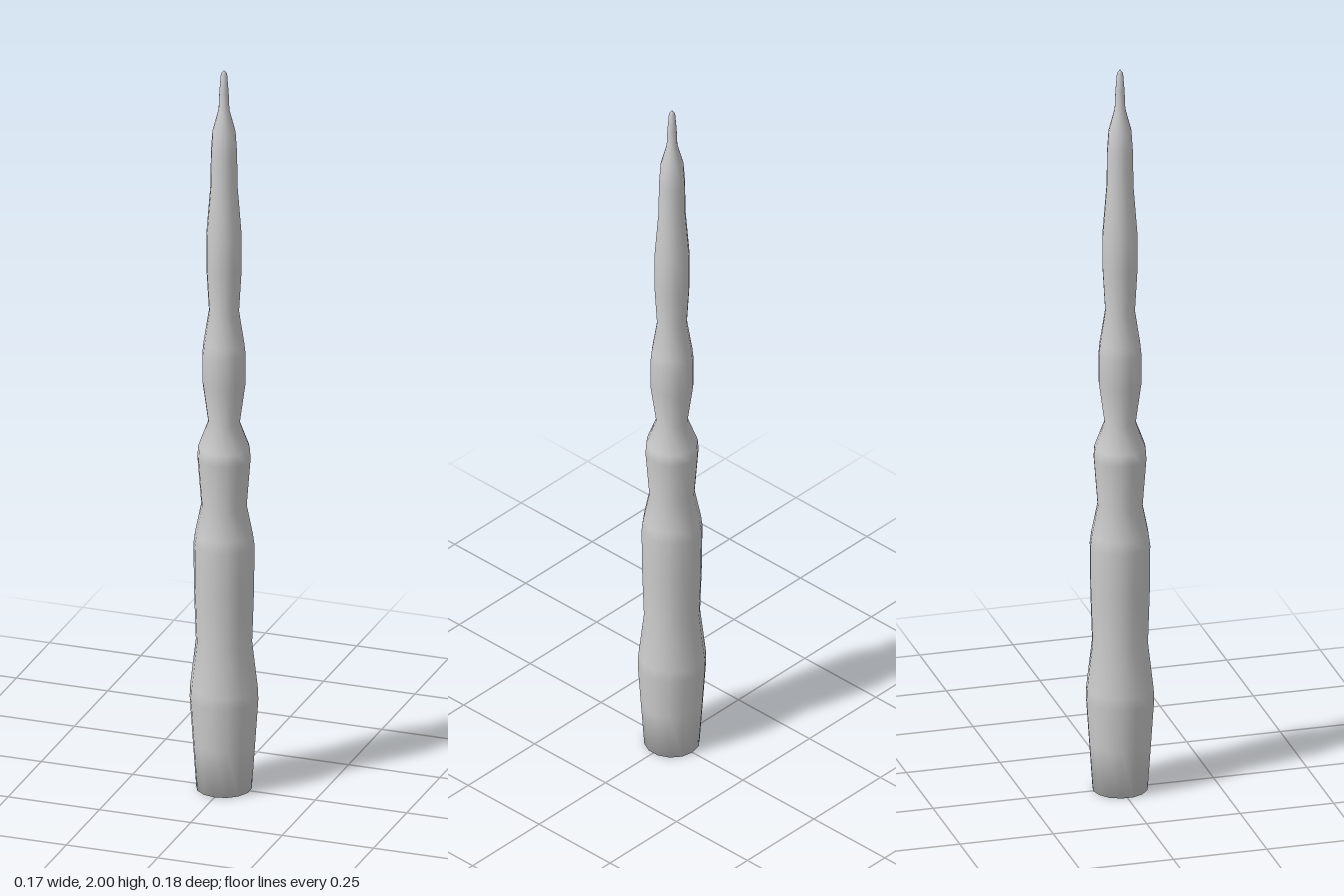
import * as THREE from 'three';

export function createModel() {
  const group = new THREE.Group();

  // Profile of the swelling, tapering spike: [radius, height]
  const profile = [
    [0, 0], [0.072, 0], [0.081, 0.13], [0.089, 0.25], [0.088, 0.28],
    [0.073, 0.41], [0.078, 0.56], [0.079, 0.68], [0.075, 0.71],
    [0.059, 0.79], [0.069, 0.92], [0.067, 0.95], [0.041, 1.02],
    [0.056, 1.13], [0.056, 1.21], [0.053, 1.24], [0.039, 1.33],
    [0.046, 1.45], [0.046, 1.54], [0.035, 1.68], [0.034, 1.77],
    [0.030, 1.83], [0.014, 1.89], [0.012, 1.94], [0.008, 1.99], [0, 2],
  ].map(([r, y]) => new THREE.Vector2(r, y));

  // Fourteen-sided smooth body, closed at both ends
  const spike = new THREE.Mesh(
    new THREE.LatheGeometry(profile, 14),
    new THREE.MeshStandardMaterial({ color: 0xcccccc })
  );
  spike.name = 'spike';
  group.add(spike);

  return group;
}
